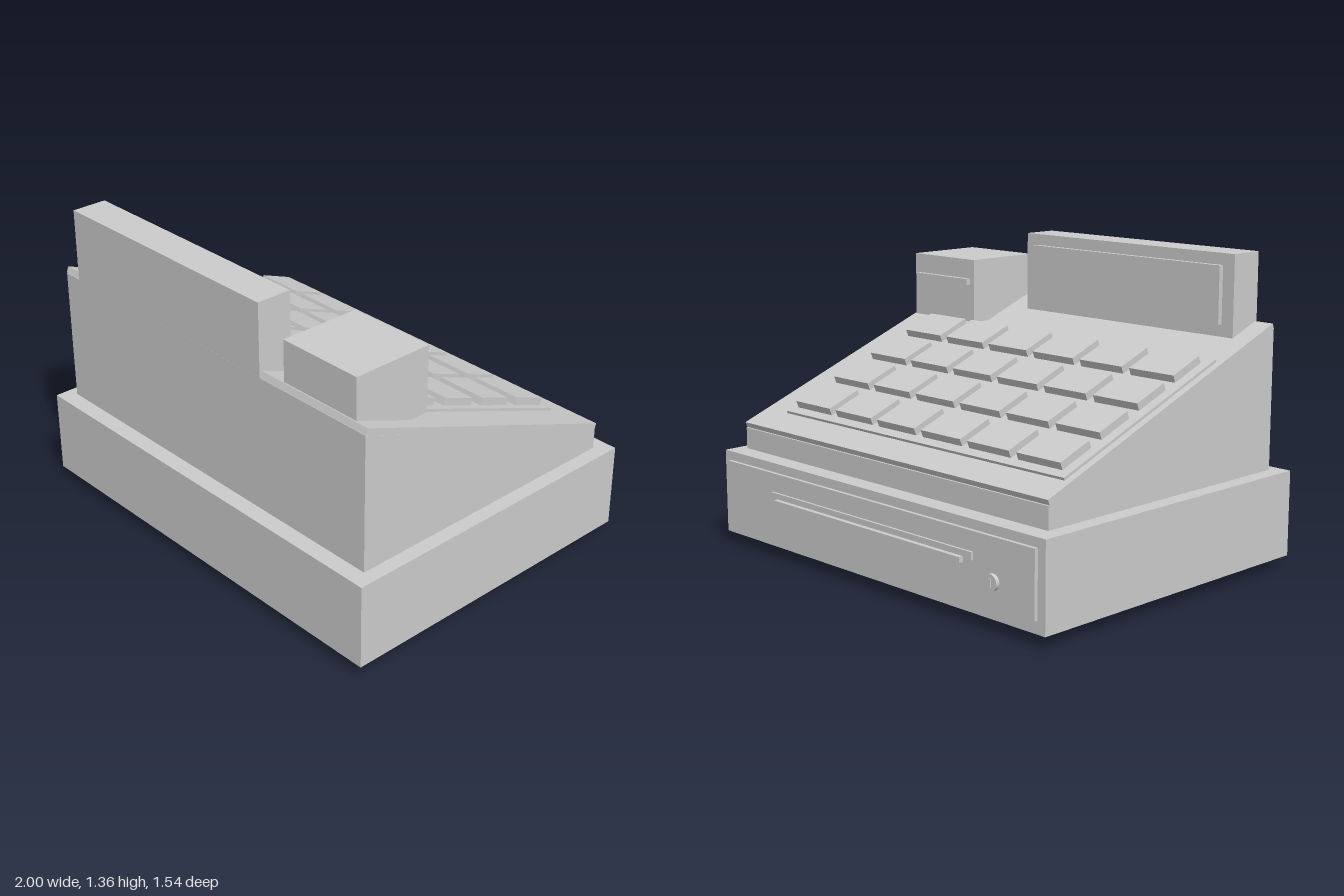
import * as THREE from 'three';

export function createModel() {
  const model = new THREE.Group();
  model.name = 'cashRegister';
  const grey = new THREE.MeshStandardMaterial({ color: 0xcccccc });
  grey.name = 'plainGrey';

  const add = (parent, name, geometry) => {
    const mesh = new THREE.Mesh(geometry, grey);
    mesh.name = name;
    parent.add(mesh);
    return mesh;
  };
  // Box given by its lowest and highest corner
  const box = (parent, name, [x0, y0, z0], [x1, y1, z1]) =>
    add(parent, name, new THREE.BoxGeometry(x1 - x0, y1 - y0, z1 - z0)
      .translate((x0 + x1) / 2, (y0 + y1) / 2, (z0 + z1) / 2));
  // Cylinder lying along z
  const disc = (parent, name, r, depth, x, y, z) =>
    add(parent, name, new THREE.CylinderGeometry(r, r, depth, 32).rotateX(Math.PI / 2).translate(x, y, z));

  // Drawer base on four feet
  box(model, 'base', [-1, 0.055, -0.725], [1, 0.43, 0.77]);
  for (const x of [-0.83, 0.83])
    for (const z of [-0.55, 0.6])
      add(model, 'foot', new THREE.CylinderGeometry(0.058, 0.058, 0.06, 32)).position.set(x, 0.03, z);

  // Drawer front with handle and lock, on the -z side
  const drawer = new THREE.Group();
  drawer.name = 'drawer';
  model.add(drawer);
  box(drawer, 'drawerFront', [-0.96, 0.11, -0.741], [0.96, 0.39, -0.72]);
  box(drawer, 'handlePlate', [-0.63, 0.275, -0.752], [0.63, 0.308, -0.735]);
  box(drawer, 'handleBar', [-0.585, 0.259, -0.773], [0.585, 0.283, -0.75]);
  disc(drawer, 'lock', 0.034, 0.018, -0.74, 0.213, -0.748);
  box(drawer, 'keySlot', [-0.745, 0.195, -0.762], [-0.735, 0.231, -0.755]);

  // Wedge-shaped body
  const wedge = new THREE.BoxGeometry(1.88, 1, 1.35).translate(0, 0, 0.025);
  const p = wedge.attributes.position;
  for (let i = 0; i < p.count; i++)
    p.setY(i, p.getY(i) < 0 ? 0.435 : p.getZ(i) > 0 ? 1.037 : 0.53);
  wedge.computeVertexNormals();
  add(model, 'body', wedge);

  // Sloping top; local y is the panel normal, local z runs up the slope
  const slope = new THREE.Group();
  slope.name = 'slopingTop';
  slope.position.set(0, 0.81, 0.018);
  slope.rotation.x = -0.363;
  model.add(slope);
  box(slope, 'topPanel', [-0.942, -0.028, -0.719], [0.942, 0, 0.719]);
  box(slope, 'keyboardPlate', [-0.91, -0.005, -0.589], [0.79, 0.012, 0.366]);
  for (let row = 0; row < 4; row++)
    for (let col = 0; col < 6; col++) {
      const x = -0.747 + col * 0.277, z = 0.236 - row * 0.2326;
      box(slope, 'key', [x - 0.118, 0.01, z - 0.085], [x + 0.118, 0.045, z + 0.085]);
    }

  // Display with raised screen
  box(model, 'display', [-0.85, 1.0, 0.54], [0.35, 1.36, 0.7]);
  box(model, 'screen', [-0.79, 1.06, 0.517], [0.29, 1.31, 0.545]);

  // Receipt printer with paper slot
  box(model, 'printer', [0.47, 0.955, 0.31], [0.87, 1.243, 0.68]);
  box(model, 'paperSlot', [0.495, 1.127, 0.288], [0.845, 1.155, 0.315]);

  return model;
}
